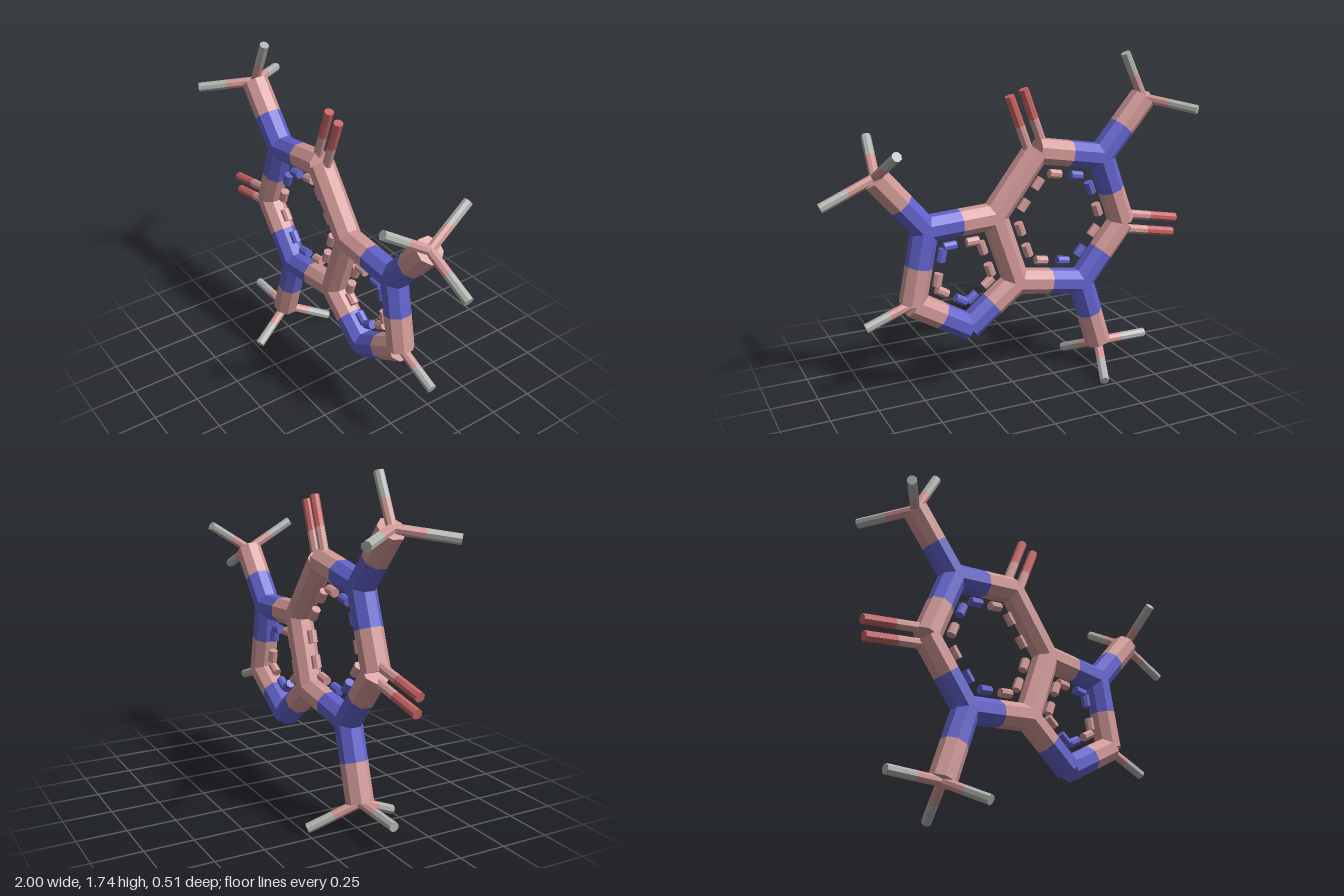
import * as THREE from 'three';

export function createModel() {
  const model = new THREE.Group();
  const mat = (name, color) => {
    const m = new THREE.MeshStandardMaterial({ color, flatShading: true });
    m.name = name;
    return m;
  };
  const materials = {
    C: mat('carbon pink', 0xd09896),
    N: mat('nitrogen blue', 0x6262cc),
    O: mat('oxygen red', 0xc86464),
    H: mat('hydrogen grey', 0xb0b3b0),
  };

  const THICK = 0.07, THIN = 0.025, DASH = 0.024;

  // Atoms: element and position
  const atoms = {};
  const atom = (id, el, x, y, z = 0) => { atoms[id] = { el, p: new THREE.Vector3(x, y, z) }; };
  atom('N1', 'N', -0.51, 1.21);
  atom('C2', 'C', -0.65, 0.835);
  atom('N3', 'N', -0.405, 0.53);
  atom('C4', 'C', -0.02, 0.59);
  atom('C5', 'C', 0.105, 0.96);
  atom('C6', 'C', -0.135, 1.275);
  atom('N7', 'N', 0.475, 0.94);
  atom('C8', 'C', 0.55, 0.56);
  atom('N9', 'N', 0.25, 0.38);
  atom('M1', 'C', -0.755, 1.5);
  atom('M3', 'C', -0.525, 0.15);
  atom('M7', 'C', 0.715, 1.225);
  atom('O2', 'O', -0.99, 0.77);
  atom('O6', 'O', -0.022, 1.577);
  atom('H8', 'H', 0.795, 0.468);

  // Octagonal rod with one flat facing the front
  function rod(name, a, b, radius, el) {
    const dir = b.clone().sub(a);
    const geo = new THREE.CylinderGeometry(radius, radius, dir.length(), 8).rotateY(Math.PI / 8);
    dir.normalize();
    const side = new THREE.Vector3().crossVectors(dir, new THREE.Vector3(0, 0, 1)).normalize();
    const front = new THREE.Vector3().crossVectors(side, dir);
    const mesh = new THREE.Mesh(geo, materials[el]);
    mesh.quaternion.setFromRotationMatrix(new THREE.Matrix4().makeBasis(side, dir, front));
    mesh.position.copy(a).add(b).multiplyScalar(0.5);
    mesh.name = name;
    model.add(mesh);
  }

  // Bond split at its middle into the colours of its two atoms
  function bond(name, i, j, radius, offset = new THREE.Vector3()) {
    const a = atoms[i].p.clone().add(offset), b = atoms[j].p.clone().add(offset);
    const mid = a.clone().lerp(b, 0.5);
    rod(name, a, mid, radius, atoms[i].el);
    rod(name, mid, b, radius, atoms[j].el);
  }

  // Ring frame and methyl arms
  const rings = [['N1', 'C2', 'N3', 'C4', 'C5', 'C6'], ['C5', 'C4', 'N9', 'C8', 'N7']];
  const arms = [['N1', 'M1'], ['N3', 'M3'], ['N7', 'M7']];
  const done = new Set();
  for (const ring of rings) {
    const centre = new THREE.Vector3();
    ring.forEach(id => centre.addScaledVector(atoms[id].p, 1 / ring.length));
    ring.forEach((i, k) => {
      const j = ring[(k + 1) % ring.length];
      const key = [i, j].sort().join();
      if (!done.has(key)) bond('ringBond', i, j, THICK);
      done.add(key);

      // Two short dashes along the inside of every ring bond
      const a = atoms[i].p, b = atoms[j].p;
      const dir = b.clone().sub(a).normalize();
      const inward = new THREE.Vector3(-dir.y, dir.x, 0);
      if (inward.dot(centre.clone().sub(a)) < 0) inward.negate();
      [[i, 1 / 3], [j, 2 / 3]].forEach(([id, t]) => {
        const c = a.clone().lerp(b, t).addScaledVector(inward, 0.113);
        rod('ringDash', c.clone().addScaledVector(dir, -0.033),
          c.clone().addScaledVector(dir, 0.033), DASH, atoms[id].el);
      });
    });
  }
  arms.forEach(([i, j]) => bond('methylArm', i, j, THICK));

  // Double bonds to oxygen: paired thin rods
  [['C2', 'O2'], ['C6', 'O6']].forEach(([i, j]) => {
    const d = atoms[j].p.clone().sub(atoms[i].p).normalize();
    for (const s of [-1, 1]) {
      bond('oxygenRod', i, j, THIN, new THREE.Vector3(-d.y, d.x, 0).multiplyScalar(s * 0.041));
    }
  });

  // Hydrogens: one in the plane and a mirrored pair on each methyl
  bond('hydrogenRod', 'C8', 'H8', THIN);
  const methyls = [
    ['M1', -0.64, 1.738, -0.935, 1.46],
    ['M3', -0.825, 0.145, -0.435, 0.03],
    ['M7', 0.985, 1.107, 0.68, 1.375],
  ];
  for (const [id, x, y, px, py] of methyls) {
    [[x, y, 0], [px, py, 0.24], [px, py, -0.24]].forEach((p, k) => {
      const h = `${id}H${k}`;
      atom(h, 'H', ...p);
      bond('hydrogenRod', id, h, THIN);
    });
  }
  return model;
}
